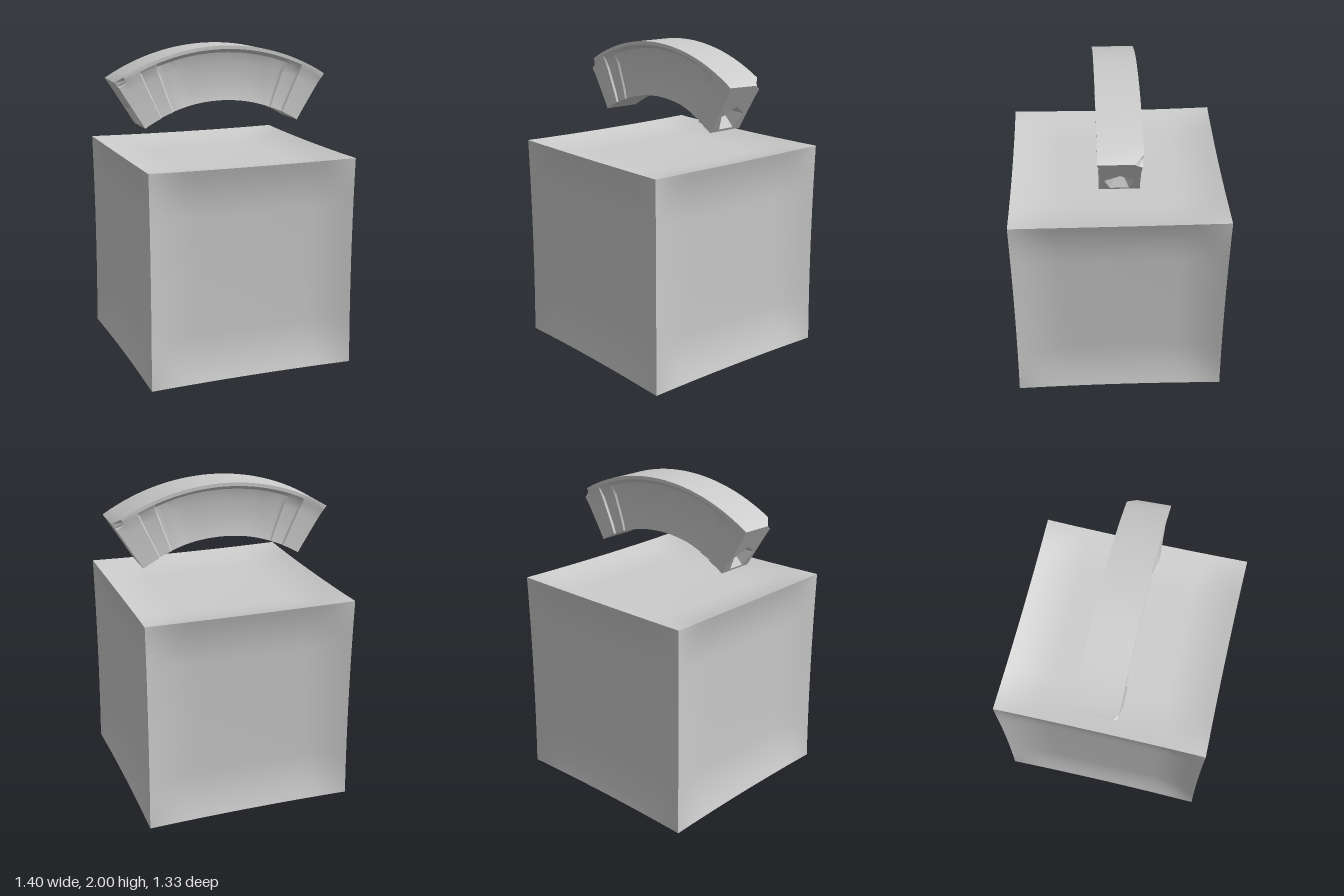
import * as THREE from 'three';
import { toCreasedNormals } from 'three/addons/utils/BufferGeometryUtils.js';

const CENTRE_Y = 0.675, OUTER = 1.325, INNER = 0.976, HALF_Z = 0.132;
const END = 32, SOCKET_R = 0.095, SOCKET_MID = 1.07;
const rad = THREE.MathUtils.degToRad;
const material = (options = {}) => new THREE.MeshStandardMaterial({ color: 0xcccccc, ...options });

// Point on the arch at an angle from vertical, a radius and a depth
const archPoint = (deg, r, z) => [r * Math.sin(rad(deg)), CENTRE_Y + r * Math.cos(rad(deg)), z];

// Cube with hollowed faces, crisp corners and slightly bowed edges
function createCube() {
  const half = 0.665, height = 1.336, bow = 0.009, depth = 0.064, rimWidth = 0.45;
  const geometry = new THREE.BoxGeometry(2, 2, 2, 32, 32, 32);
  const p = geometry.attributes.position, n = geometry.attributes.normal;
  const v = new THREE.Vector3(), normal = new THREE.Vector3();
  const ease = (t) => 1 - Math.max(0, 1 - (1 - Math.abs(t)) / rimWidth) ** 2;
  const bowed = (a, b, c) => a * (1 - bow * (2 - b * b - c * c));
  for (let i = 0; i < p.count; i++) {
    v.fromBufferAttribute(p, i);
    normal.fromBufferAttribute(n, i);
    const dish = [v.x, v.y, v.z].reduce((d, t, k) => d * (normal.getComponent(k) ? 1 : ease(t)), depth);
    const { x, y, z } = v;
    v.set(bowed(x, y, z), bowed(y, x, z), bowed(z, x, y)).addScaledVector(normal, -dish);
    p.setXYZ(i, v.x * half, (v.y + 1) * height / 2, v.z * half);
  }
  geometry.computeVertexNormals();
  const cube = new THREE.Mesh(geometry, material());
  cube.name = 'cube';
  return cube;
}

// Side recess: end blocks step down twice to the middle panel, which sinks gently
function recess(deg) {
  const a = Math.abs(deg);
  if (a >= 25) return 0.013;
  if (a >= 20) return 0.026;
  return 0.036 + 0.012 * THREE.MathUtils.smoothstep(19.5 - a, 0, 8);
}

// Closed cross-section as [radius, z], with a chipped corner at each end
function section(deg) {
  const d = recess(deg);
  const side = [
    [OUTER, HALF_Z], [OUTER - 0.022, HALF_Z], [OUTER - 0.045, HALF_Z - d * 0.6],
    [OUTER - 0.11, HALF_Z - d], [INNER + 0.06, HALF_Z - d], [INNER, HALF_Z - d * 0.8]
  ];
  const loop = [...side, ...side.map(([r, z]) => [r, -z]).reverse()];
  if (Math.abs(deg) === END) {
    const [corner, rim] = deg > 0 ? [11, 10] : [0, 1];
    loop[corner] = [OUTER - 0.01, loop[corner][1] * 0.6];
    loop[rim] = [OUTER - 0.035, loop[rim][1] * 0.8];
  }
  return loop;
}

function createArchBody() {
  const half = [END, 29.5, 27, 25, 24.6, 22, 20, 19.5];
  const middle = Array.from({ length: 19 }, (_, i) => -18 + i * 2);
  const stations = [...half.map((a) => -a), ...middle, ...[...half].reverse()];
  const positions = [], index = [], sides = 12;
  stations.forEach((deg, i) => {
    section(deg).forEach(([r, z], j) => {
      positions.push(...archPoint(deg, r, z));
      if (i === stations.length - 1) return;
      const a = i * sides + j, b = i * sides + (j + 1) % sides;
      index.push(a, b, b + sides, a, b + sides, a + sides);
    });
  });
  const geometry = new THREE.BufferGeometry();
  geometry.setAttribute('position', new THREE.Float32BufferAttribute(positions, 3));
  geometry.setIndex(index);
  const body = new THREE.Mesh(toCreasedNormals(geometry, 0.5), material());
  body.name = 'archBody';
  return body;
}

// End face with a five-sided socket sunk into it
function createArchEnd(sign) {
  const end = new THREE.Group();
  end.name = sign > 0 ? 'leftEnd' : 'rightEnd';
  const deg = sign * END;

  const shape = new THREE.Shape(section(deg).map(([r, z]) => new THREE.Vector2(z, r)));
  const corners = Array.from({ length: 5 }, (_, k) => {
    const t = k * Math.PI * 2 / 5;
    return new THREE.Vector2(SOCKET_R * Math.sin(t), SOCKET_MID + SOCKET_R * Math.cos(t));
  });
  shape.holes.push(new THREE.Path(corners));
  const geometry = new THREE.ShapeGeometry(shape);
  const p = geometry.attributes.position;
  for (let i = 0; i < p.count; i++) p.setXYZ(i, ...archPoint(deg, p.getY(i), p.getX(i)));
  geometry.computeVertexNormals();
  const face = new THREE.Mesh(geometry, material({ side: THREE.DoubleSide }));
  face.name = 'endFace';

  const profile = [[0, -0.07], [0.04, -0.06], [SOCKET_R, 0]].map(([x, y]) => new THREE.Vector2(x, y));
  const socket = new THREE.Mesh(
    new THREE.LatheGeometry(profile, 5, -sign * Math.PI / 2),
    material({ side: THREE.DoubleSide, flatShading: true })
  );
  socket.name = 'socket';
  socket.position.set(...archPoint(deg, SOCKET_MID, 0));
  socket.rotation.z = -rad(deg) - sign * Math.PI / 2;

  end.add(face, socket);
  return end;
}

export function createModel() {
  const model = new THREE.Group();
  model.name = 'cubeWithArch';
  const arch = new THREE.Group();
  arch.name = 'arch';
  arch.add(createArchBody(), createArchEnd(1), createArchEnd(-1));
  model.add(createCube(), arch);
  return model;
}
